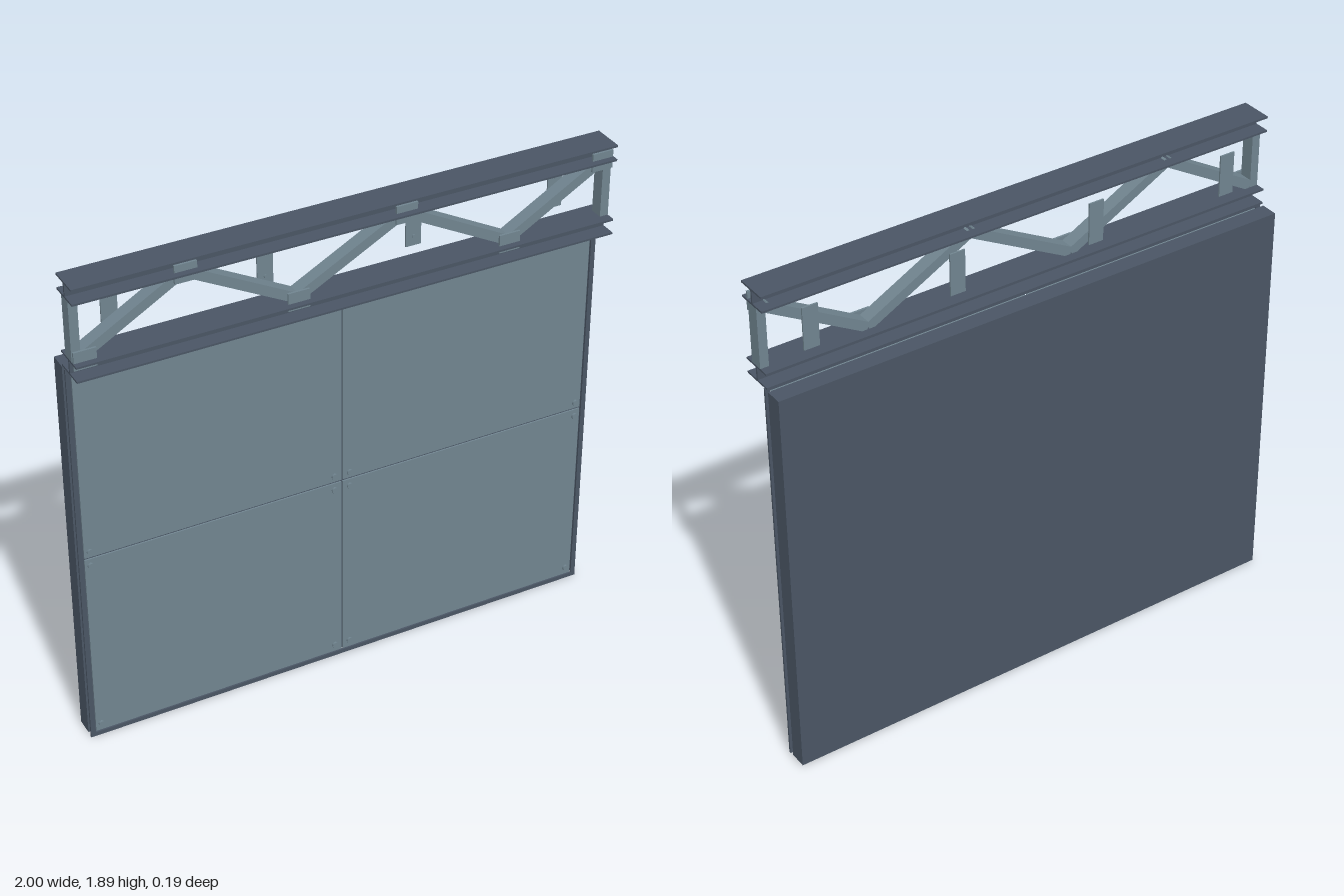
import * as THREE from 'three';

export function createModel() {
  const model = new THREE.Group();
  model.name = 'wallPanelWithTruss';
  const dark = new THREE.MeshStandardMaterial({ color: 0x4a5564 });
  dark.name = 'dark steel';
  const light = new THREE.MeshStandardMaterial({ color: 0x70848f });
  light.name = 'light steel';

  const add = (name, geometry, material, x, y, z) => {
    const mesh = new THREE.Mesh(geometry, material);
    mesh.name = name;
    mesh.position.set(x, y, z);
    model.add(mesh);
    return mesh;
  };
  // Box given by its limits on each axis
  const box = (name, material, [x0, x1], [y0, y1], [z0, z1]) =>
    add(name, new THREE.BoxGeometry(x1 - x0, y1 - y0, z1 - z0), material,
      (x0 + x1) / 2, (y0 + y1) / 2, (z0 + z1) / 2);
  const bolt = (name, r, depth, x, y, z) => {
    const g = new THREE.CylinderGeometry(r, r, depth, 8).rotateX(Math.PI / 2);
    return add(name, g, light, x, y, z);
  };

  // Backing slab
  box('backSlab', dark, [-1, 1], [0.005, 1.54], [-0.095, -0.03]);

  // Four face panels, separated by narrow dark seams
  box('seamBacking', dark, [-0.98, 0.98], [0.018, 1.525], [-0.03, -0.014]);
  for (const [x0, x1] of [[-0.978, -0.003], [0.003, 0.978]])
    for (const [y0, y1] of [[0.018, 0.768], [0.776, 1.528]])
      box('facePanel', light, [x0, x1], [y0, y1], [-0.03, -0.008]);

  // Thin trim around the face
  for (const s of [-1, 1])
    box('sideTrim', dark, s < 0 ? [-1, -0.982] : [0.982, 1], [0, 1.54], [-0.012, -0.004]);
  box('bottomTrim', dark, [-0.982, 0.982], [0, 0.016], [-0.012, -0.004]);
  box('topTrim', dark, [-0.982, 0.982], [1.53, 1.54], [-0.012, -0.004]);

  // Bolts in the panel corners
  for (const x of [-0.957, -0.03, 0.03, 0.957])
    for (const y of [0.048, 0.742, 0.8, 1.497])
      bolt('panelBolt', 0.012, 0.008, x, y, -0.004);

  // Two I-beams
  const beam = (name, y) => {
    const h = 0.03, w = 0.06, t = 0.007, k = 0.004;
    const points = [[-w, -h], [w, -h], [w, t - h], [k, t - h], [k, h - t], [w, h - t],
      [w, h], [-w, h], [-w, h - t], [-k, h - t], [-k, t - h], [-w, t - h]];
    const shape = new THREE.Shape(points.map(([a, b]) => new THREE.Vector2(a, b)));
    const g = new THREE.ExtrudeGeometry(shape, { depth: 2, bevelEnabled: false });
    g.translate(0, 0, -1).rotateY(Math.PI / 2);
    add(name, g, dark, 0, y, 0.035);
  };
  beam('lowerBeam', 1.575);
  beam('upperBeam', 1.86);

  // End posts
  for (const s of [-1, 1])
    box('endPost', light, s < 0 ? [-1, -0.968] : [0.968, 1], [1.605, 1.83], [0.01, 0.06]);

  // Zigzag braces with a gusset plate at every node
  const nodes = [[-0.97, 1.612], [-0.6, 1.825], [-0.2, 1.612], [0.2, 1.825], [0.6, 1.612], [0.97, 1.825]];
  nodes.forEach(([x, y], i) => {
    const gx = Math.max(-0.958, Math.min(0.958, x));
    add('gussetPlate', new THREE.BoxGeometry(0.08, 0.068, 0.008), light, gx, i % 2 ? 1.829 : 1.611, 0.068);
    if (i === nodes.length - 1) return;
    const dx = nodes[i + 1][0] - x, dy = nodes[i + 1][1] - y;
    const brace = add('diagonalBrace', new THREE.BoxGeometry(Math.hypot(dx, dy), 0.036, 0.05), light,
      x + dx / 2, y + dy / 2, 0.035);
    brace.rotation.z = Math.atan2(dy, dx);
  });

  // Hanging plates behind the truss, each with two bolts
  for (const x of [-0.83, -0.277, 0.277, 0.83]) {
    box('hangerPlate', light, [x - 0.029, x + 0.029], [1.64, 1.798], [-0.026, -0.02]);
    for (const y of [1.677, 1.757]) bolt('hangerBolt', 0.006, 0.006, x, y, -0.018);
  }
  return model;
}
